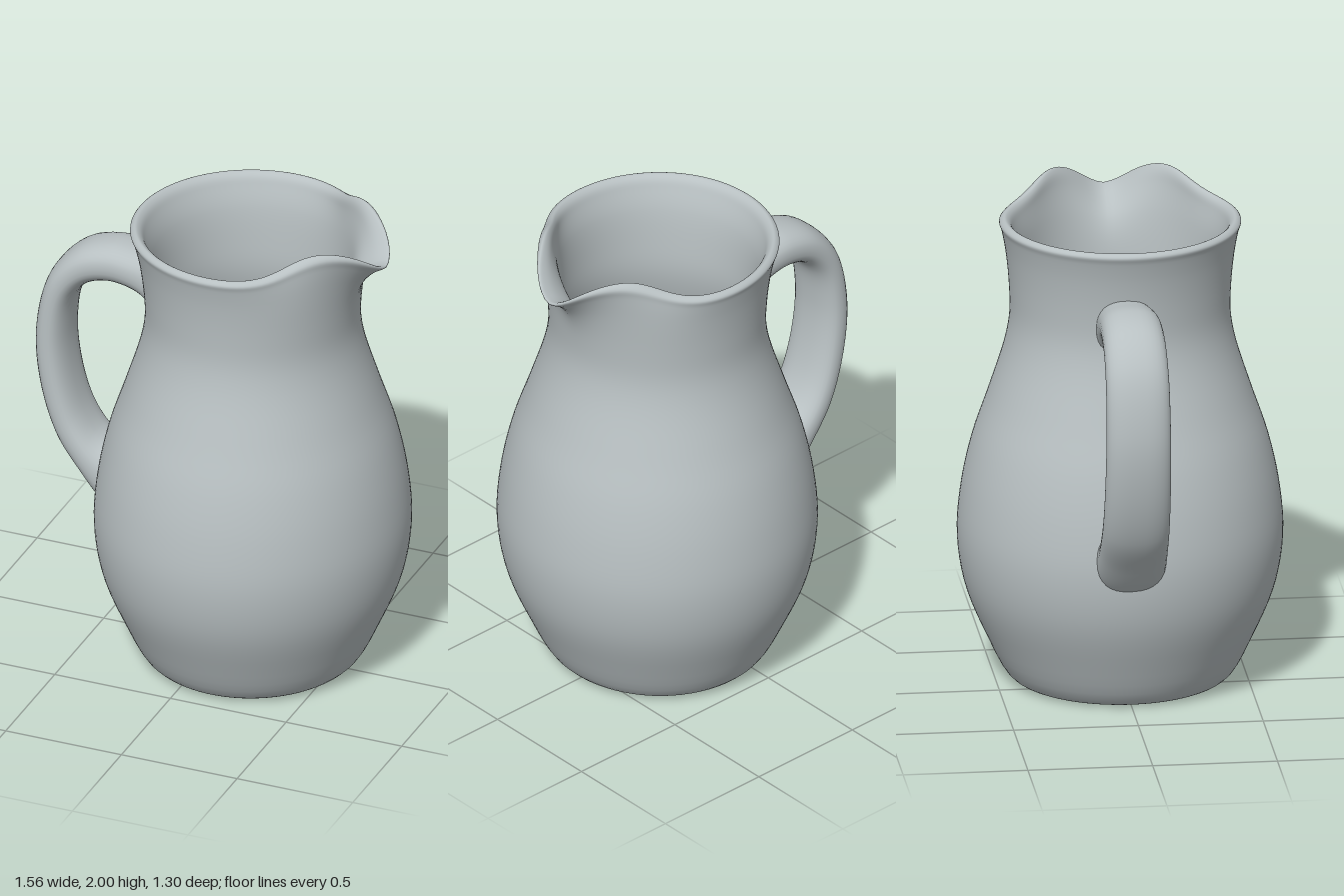
import * as THREE from 'three';

const CENTRE_X = 0.145;

// Smooth surface through closed rings; point(i, angle) returns [x, y, z]
function ringSurface(rows, columns, point) {
  const positions = [], index = [];
  for (let i = 0; i < rows; i++) {
    for (let j = 0; j < columns; j++) {
      positions.push(...point(i, (j / columns) * Math.PI * 2));
      if (i === rows - 1) continue;
      const a = i * columns + j, b = i * columns + (j + 1) % columns;
      index.push(a, a + columns, b, b, a + columns, b + columns);
    }
  }
  const geometry = new THREE.BufferGeometry();
  geometry.setAttribute('position', new THREE.Float32BufferAttribute(positions, 3));
  geometry.setIndex(index);
  geometry.computeVertexNormals();
  return geometry;
}

const curveThrough = (points) =>
  new THREE.CatmullRomCurve3(points.map(([x, y]) => new THREE.Vector3(x, y, 0)));

const bell = (a, centre, width) => Math.exp(-(((a - centre) / width) ** 2));

// Hollow body: turned profile whose rim is pulled into a spout towards +x
function bodyGeometry() {
  const wall = [
    [0.54, 0.2], [0.62, 0.4], [0.65, 0.6], [0.635, 0.8], [0.592, 1.0],
    [0.525, 1.2], [0.462, 1.4], [0.441, 1.52], [0.443, 1.65], [0.457, 1.79],
  ];
  const inside = wall.map(([r, y]) => [r - 0.055, y]).reverse();
  const profile = curveThrough([
    [0, 0], [0.2, 0], [0.39, 0], [0.445, 0.025], ...wall,
    [0.474, 1.88], [0.482, 1.91], [0.461, 1.925], [0.44, 1.91], [0.424, 1.87],
    ...inside, [0.4, 0.08], [0.2, 0.06], [0, 0.06],
  ]);
  const rows = 141;
  const samples = profile.getPoints(rows - 1);
  return ringSurface(rows, 120, (i, angle) => {
    const { x: radius, y } = samples[i];
    const degrees = Math.abs(THREE.MathUtils.radToDeg(angle > Math.PI ? angle - 2 * Math.PI : angle));
    const t = THREE.MathUtils.clamp((y - 1.4) / 0.525, 0, 1);
    // Spout tip with pinched sides, raised shoulders and a dipped lip
    const pull = 0.1 * bell(degrees, 0, 20) - 0.04 * bell(degrees, 48, 20);
    const lift = 0.075 * bell(degrees, 32, 22) - 0.06 * bell(degrees, 0, 12);
    const r = Math.max(0, radius) + pull * t ** 6;
    const stretch = 0.97 + 0.05 * t ** 2;
    return [
      CENTRE_X + Math.cos(angle) * r * stretch,
      Math.max(0, y) + lift * t ** 3,
      Math.sin(angle) * r,
    ];
  });
}

// Handle: rounded sections spanning an outer and an inner edge curve
function handleGeometry() {
  const outer = curveThrough([
    [-0.25, 1.71], [-0.34, 1.722], [-0.46, 1.73], [-0.6, 1.685], [-0.72, 1.55],
    [-0.778, 1.3], [-0.757, 1.05], [-0.68, 0.82], [-0.57, 0.665], [-0.49, 0.565], [-0.44, 0.52],
  ]);
  const inner = curveThrough([
    [-0.25, 1.46], [-0.33, 1.535], [-0.45, 1.562], [-0.555, 1.53], [-0.62, 1.45],
    [-0.645, 1.29], [-0.63, 1.11], [-0.585, 0.95], [-0.53, 0.86], [-0.48, 0.825], [-0.44, 0.82],
  ]);
  const rows = 71;
  return ringSurface(rows, 32, (i, angle) => {
    const u = i / (rows - 1);
    const a = outer.getPoint(u), b = inner.getPoint(u);
    const soften = (v) => Math.sign(v) * Math.abs(v) ** 0.85;
    const across = soften(Math.cos(angle)) / 2;
    const halfWidth = 0.118 + 0.022 * u;
    return [
      (a.x + b.x) / 2 + (a.x - b.x) * across,
      (a.y + b.y) / 2 + (a.y - b.y) * across,
      -0.023 + soften(Math.sin(angle)) * halfWidth,
    ];
  });
}

export function createModel() {
  const clay = new THREE.MeshStandardMaterial({ color: 0xb8c0c2 });
  clay.name = 'greyClay';

  const jug = new THREE.Group();
  jug.name = 'jug';
  const parts = { body: bodyGeometry(), handle: handleGeometry() };
  for (const [name, geometry] of Object.entries(parts)) {
    const mesh = new THREE.Mesh(geometry, clay);
    mesh.name = name;
    jug.add(mesh);
  }
  return jug;
}
